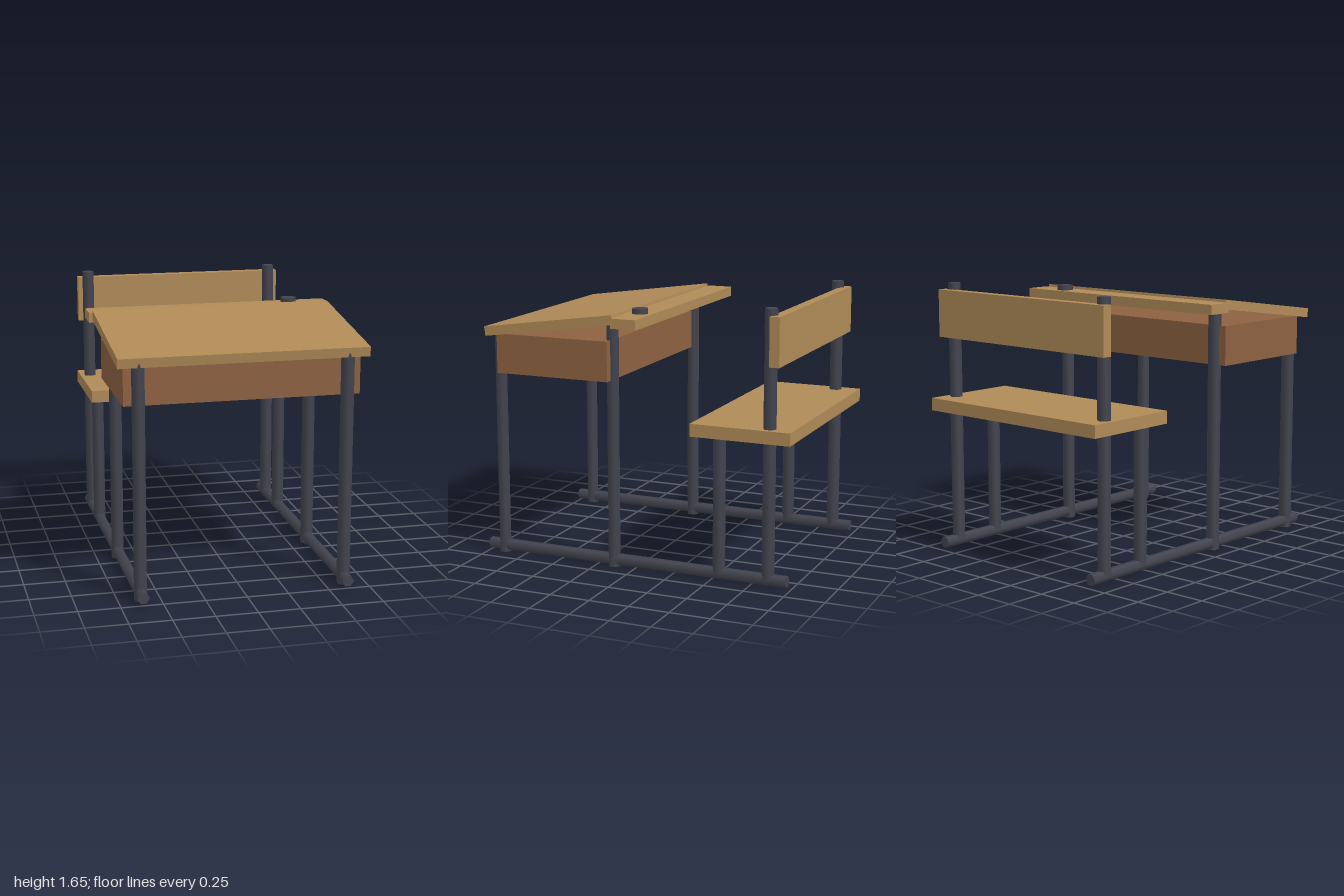
import * as THREE from 'three';

const wood = new THREE.MeshStandardMaterial({ color: 0xb08a57 });
wood.name = 'light wood';
const darkWood = new THREE.MeshStandardMaterial({ color: 0x8d6140 });
darkWood.name = 'brown wood';
const metal = new THREE.MeshStandardMaterial({ color: 0x43434f });
metal.name = 'dark metal';

export function createModel() {
  const model = new THREE.Group();
  model.name = 'schoolDesk';

  const add = (name, geometry, material, x, y, z) => {
    const mesh = new THREE.Mesh(geometry, material);
    mesh.name = name;
    mesh.position.set(x, y, z);
    model.add(mesh);
    return mesh;
  };

  // Board given by its width and its y and z extents
  const board = (name, material, width, y0, y1, z0, z1) =>
    add(name, new THREE.BoxGeometry(width, y1 - y0, z1 - z0), material, 0, (y0 + y1) / 2, (z0 + z1) / 2);

  // Six-sided tube frame, mirrored on both sides: [name, z, bottom, top]
  const posts = [
    ['deskFrontLeg', 0.9, 0, 1.41],
    ['deskBackLeg', 0.14, 0, 1.51],
    ['seatFrontLeg', -0.545, 0.04, 0.9],
    ['backrestPost', -0.855, 0.04, 1.65],
  ];
  for (const [side, x] of [['left', 0.617], ['right', -0.617]]) {
    for (const [name, z, y0, y1] of posts) {
      add(`${side} ${name}`, new THREE.CylinderGeometry(0.04, 0.04, y1 - y0, 6), metal, x, (y0 + y1) / 2, z);
    }
    const rail = new THREE.CylinderGeometry(0.036, 0.036, 1.975, 6);
    rail.rotateY(Math.PI / 6).rotateX(Math.PI / 2);
    add(`${side} floorRail`, rail, metal, x, 0.044, 0.0125);
  }

  // Bench
  board('seat', wood, 1.36, 0.873, 0.95, -1, -0.38);
  board('backrest', wood, 1.36, 1.32, 1.61, -0.927, -0.867);

  // Desk: storage box, sloping lid, and flat ledge with an inkwell
  board('storageBox', darkWood, 1.4, 1.157, 1.4, 0.14, 0.88);
  const lid = add('lid', new THREE.BoxGeometry(1.48, 0.058, 0.86), wood, 0, 1.477, 0.5125);
  lid.rotation.x = 0.142;
  board('ledge', wood, 1.52, 1.49, 1.55, -0.072, 0.088);
  add('inkwell', new THREE.CylinderGeometry(0.05, 0.05, 0.05, 8), metal, 0.513, 1.556, 0.008);

  return model;
}
